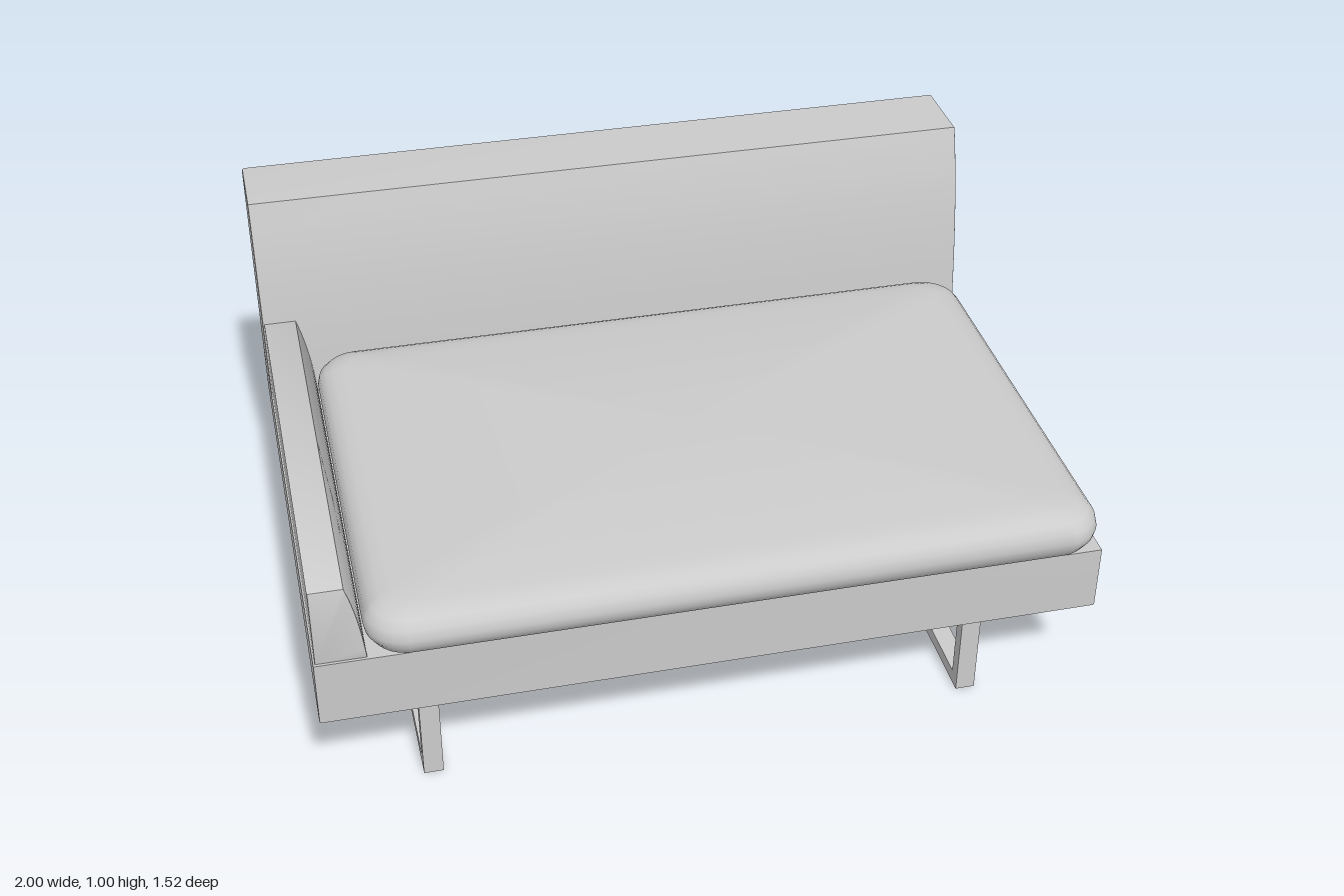
import * as THREE from 'three';
import { toCreasedNormals } from 'three/addons/utils/BufferGeometryUtils.js';

const material = new THREE.MeshStandardMaterial({ color: 0xcccccc });

function part(name, geometry) {
  const mesh = new THREE.Mesh(geometry, material);
  mesh.name = name;
  return mesh;
}

const polygon = (points) => new THREE.Shape(points.map(([a, b]) => new THREE.Vector2(a, b)));

// Extrudes a shape from 0 to length, with softened edges of size bevel
function extrude(shape, length, bevel) {
  const geometry = new THREE.ExtrudeGeometry(shape, {
    depth: length - 2 * bevel,
    bevelEnabled: bevel > 0,
    bevelThickness: bevel,
    bevelSize: bevel,
    bevelOffset: -bevel,
    bevelSegments: 2,
    curveSegments: 10,
  });
  geometry.translate(0, 0, bevel);
  return toCreasedNormals(geometry, 0.5);
}

// Extrudes a (z, y) side profile across x0..x1
function extrudeAcross(shape, x0, x1, bevel) {
  return extrude(shape, x1 - x0, bevel).rotateY(-Math.PI / 2).translate(x1, 0, 0);
}

// Outline of a rounded rectangle in x and z
function roundedOutline(halfX, halfZ, radius, steps) {
  const points = [];
  const signs = [[1, 1], [-1, 1], [-1, -1], [1, -1]];
  signs.forEach(([sx, sz], corner) => {
    for (let i = 0; i <= steps; i++) {
      const angle = (corner + i / steps) * Math.PI / 2;
      points.push([
        sx * (halfX - radius) + radius * Math.cos(angle),
        sz * (halfZ - radius) + radius * Math.sin(angle),
      ]);
    }
  });
  return points;
}

// Soft cushion: rounded outlines stacked around the rim, closed by a domed top
function cushionGeometry(halfX, halfZ) {
  const rings = [];
  const rim = [[0.075, 0.452], [0.045, 0.458], [0.018, 0.475], [0.004, 0.5], [0, 0.522],
    [0.006, 0.548], [0.022, 0.568], [0.045, 0.58], [0.075, 0.587]];
  const outlineAt = (inset) => roundedOutline(halfX - inset, halfZ - inset, 0.1 - inset * 0.5, 8);
  const inner = outlineAt(0.075);
  rings.push(inner.map(() => [0, 0.452, 0]));
  for (const [inset, y] of rim) rings.push(outlineAt(inset).map(([x, z]) => [x, y, z]));
  for (const s of [0.92, 0.8, 0.65, 0.5, 0.35, 0.2, 0]) {
    const y = 0.587 + 0.029 * (1 - s * s);
    rings.push(inner.map(([x, z]) => [x * s, y, z * s]));
  }

  const count = inner.length;
  const index = [];
  for (let r = 0; r < rings.length - 1; r++) {
    for (let i = 0; i < count; i++) {
      const a = r * count + i;
      const b = r * count + (i + 1) % count;
      index.push(a, a + count, b, b, a + count, b + count);
    }
  }
  const geometry = new THREE.BufferGeometry();
  geometry.setAttribute('position', new THREE.Float32BufferAttribute(rings.flat(2), 3));
  geometry.setIndex(index);
  geometry.computeVertexNormals();
  return geometry;
}

export function createModel() {
  const model = new THREE.Group();
  model.name = 'daybed';

  // Platform
  const platform = polygon([[-0.76, 0.27], [0.715, 0.27], [0.715, 0.45], [-0.76, 0.45]]);
  model.add(part('platform', extrudeAcross(platform, -1, 0.99, 0.004)));

  // Backrest with a gently curved, leaning front
  const back = new THREE.Shape();
  back.moveTo(-0.76, 0.45);
  back.lineTo(-0.45, 0.45);
  back.bezierCurveTo(-0.468, 0.64, -0.488, 0.82, -0.552, 1);
  back.lineTo(-0.76, 1);
  back.closePath();
  model.add(part('backrest', extrudeAcross(back, -1, 0.995, 0.006)));

  // Low armrest on one side, sloping on its inner face
  const arm = new THREE.Shape();
  arm.moveTo(-0.995, 0.45);
  arm.lineTo(-0.87, 0.45);
  arm.quadraticCurveTo(-0.88, 0.58, -0.91, 0.667);
  arm.lineTo(-0.995, 0.667);
  arm.closePath();
  const armrest = part('armrest', extrude(arm, 1.2, 0.004));
  armrest.position.z = -0.49;
  model.add(armrest);

  // Seat cushion
  const cushion = part('seatCushion', cushionGeometry(0.925, 0.612));
  cushion.position.set(0.053, 0, 0.15);
  model.add(cushion);

  // Open rectangular leg frames
  const frame = polygon([[-0.71, 0], [0.66, 0], [0.66, 0.27], [-0.71, 0.27]]);
  frame.holes.push(polygon([[-0.675, 0.035], [-0.675, 0.235], [0.625, 0.235], [0.625, 0.035]]));
  for (const [name, x] of [['rightLegFrame', -0.73], ['leftLegFrame', 0.68]]) {
    model.add(part(name, extrudeAcross(frame, x - 0.025, x + 0.025, 0)));
  }

  return model;
}
